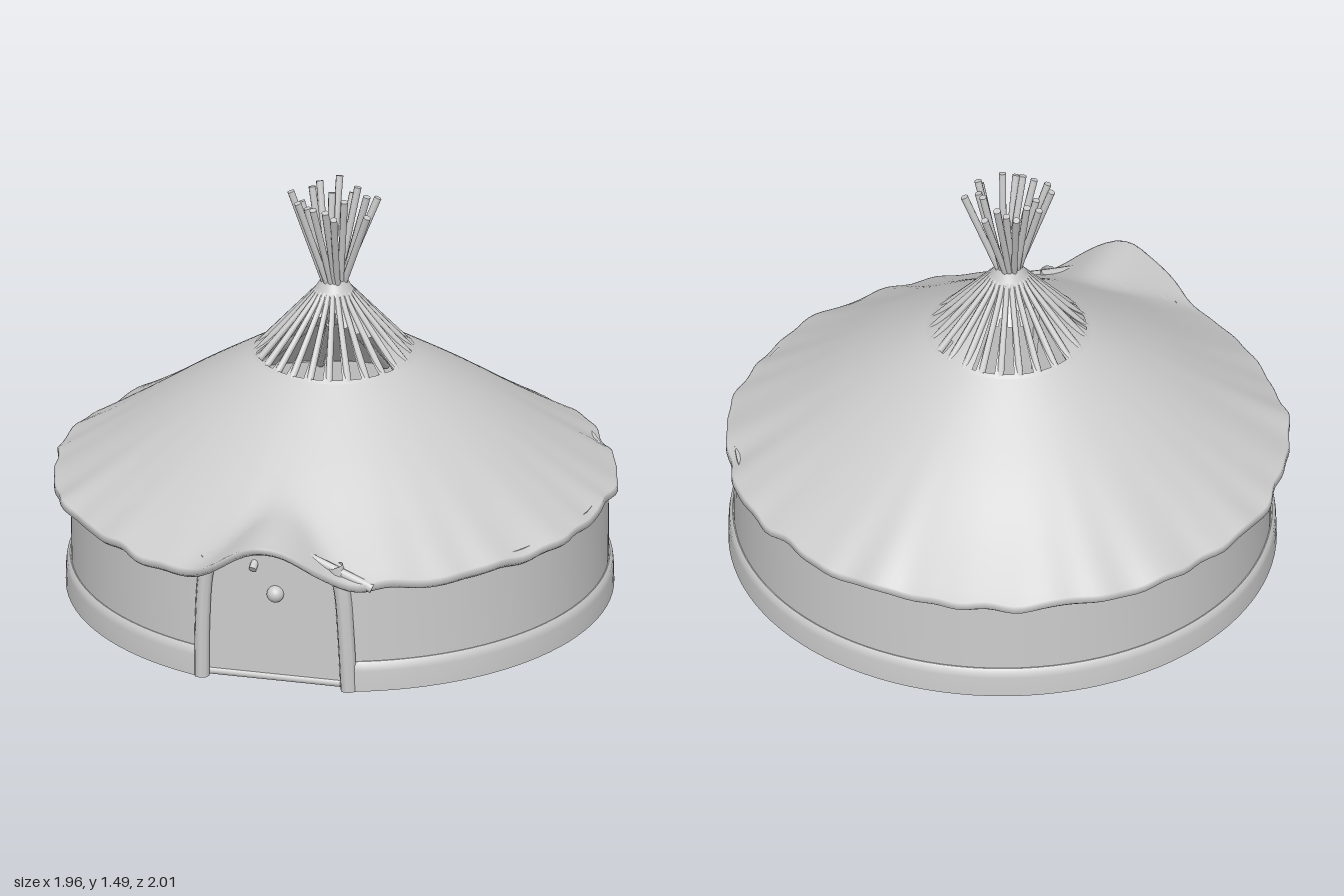
import * as THREE from 'three';
import { toCreasedNormals } from 'three/addons/utils/BufferGeometryUtils.js';

const mat = new THREE.MeshStandardMaterial({ color: 0xcccccc, side: THREE.DoubleSide });
const V = (x, y, z) => new THREE.Vector3(x, y, z);
const bump = (x, w) => Math.exp(-(x * x) / (w * w));

function add(parent, name, geometry) {
  const mesh = new THREE.Mesh(geometry, mat);
  mesh.name = name;
  parent.add(mesh);
  return mesh;
}

// Closed ring of cross-sections; keep() drops cells to leave openings
function ringSurface(rows, cols, point, keep = () => true) {
  const pos = [], index = [];
  for (let i = 0; i <= rows; i++)
    for (let j = 0; j < cols; j++) pos.push(...point(i, (j / cols) * Math.PI * 2).toArray());
  for (let i = 0; i < rows; i++)
    for (let j = 0; j < cols; j++) {
      if (!keep(i, j)) continue;
      const k = (j + 1) % cols;
      const a = i * cols + j, b = a + cols, c = (i + 1) * cols + k, d = i * cols + k;
      index.push(a, b, c, a, c, d);
    }
  const g = new THREE.BufferGeometry();
  g.setAttribute('position', new THREE.Float32BufferAttribute(pos, 3));
  g.setIndex(index);
  g.computeVertexNormals();
  return g;
}

// Straight round pole from p to q
function pole(parent, name, p, q, r0, r1 = r0) {
  const m = add(parent, name, new THREE.CylinderGeometry(r1, r0, p.distanceTo(q), 8));
  m.position.copy(p).lerp(q, 0.5);
  m.quaternion.setFromUnitVectors(V(0, 1, 0), q.clone().sub(p).normalize());
  return m;
}

const tube = (points, r) => new THREE.TubeGeometry(new THREE.CatmullRomCurve3(points), 32, r, 8);
const centreZ = (r) => -0.015 - 0.015 * r;
const polar = (a, r, y) => V(Math.sin(a) * r, y, Math.cos(a) * r + centreZ(r));

// Roof cover with wavy hem, lifted into a hood over the door
function roofPoint(a, r, y, inset) {
  const k = Math.pow(r / 0.97, 6);
  const ripple = 0.006 * Math.sin(a * 11 + 1) + 0.004 * Math.sin(a * 23) + 0.003 * Math.sin(a * 37 + 2);
  const x = Math.sin(a) * r;
  const front = Math.cos(a) > 0 ? 1 : 0;
  const rr = r + k * (ripple + front * 0.062 * bump(x + 0.1, 0.25));
  const p = polar(a, rr, y + k * 0.6 * (0.008 * Math.sin(a * 17) + 0.006 * Math.sin(a * 29 + 1)));
  if (front && r > 0.5) {
    const hood = 0.385 + 0.205 * bump(x, 0.21) - inset - 0.02 * k * bump(x, 0.2);
    const d = hood - p.y;
    p.y += 0.5 * (d + Math.sqrt(d * d + 0.0004)) * THREE.MathUtils.smoothstep(r, 0.5, 0.7);
  }
  return p;
}

function buildRoof(group) {
  const outer = new THREE.SplineCurve([
    [0.27, 0.885], [0.38, 0.815], [0.57, 0.69], [0.77, 0.55], [0.92, 0.45], [0.975, 0.415],
  ].map(([r, y]) => new THREE.Vector2(r, y))).getPoints(24);
  const profile = outer.map((p) => [p.x, p.y, 0]);
  profile.push([0.975, 0.395, 0.02], [0.96, 0.383, 0.035], [0.94, 0.39, 0.035]);
  outer.reverse().slice(2).forEach((p) => profile.push([p.x - 0.005, p.y - 0.025, 0.035]));
  add(group, 'roofCover', ringSurface(profile.length - 1, 192, (i, a) => roofPoint(a, ...profile[i])));

  // Crown cap with slots between the poles at the front and back
  const cap = new THREE.SplineCurve([
    [0.035, 1.18], [0.05, 1.145], [0.1, 1.065], [0.17, 0.98], [0.23, 0.92], [0.285, 0.877],
  ].map(([r, y]) => new THREE.Vector2(r, y))).getPoints(20);
  const cols = 125;
  const keep = (i, j) => {
    let a = ((j + 0.5) / cols) * Math.PI * 2;
    if (a > Math.PI) a -= Math.PI * 2;
    const frontSlot = Math.abs(a + 0.05) < 1.18;
    const backSlot = a < -1.8 || a > 3.05;
    const smallSlot = Math.abs(a - 2.45) < 0.1;
    if (!(frontSlot || backSlot || smallSlot) || (j + 1) % 5 > 2) return true;
    const r = cap[i].x;
    const inner = smallSlot ? 0.22 : backSlot ? 0.12 + 0.03 * Math.sin(j) : 0.075 + 0.08 * Math.abs(a);
    return r < inner || r > 0.262;
  };
  add(group, 'crownCap', ringSurface(20, cols, (i, a) => polar(a, cap[i].x, cap[i].y), keep));
}

function buildPoles(group) {
  // Rafters under the cover, meeting at the crown
  const rafters = new THREE.Group();
  rafters.name = 'rafters';
  for (let i = 0; i < 25; i++) {
    const a = ((i * 5 + 3.5) / 125) * Math.PI * 2;
    pole(rafters, 'rafter', polar(a, 0.9, 0.425), polar(a, 0.27, 0.862), 0.014);
    pole(rafters, 'upperRafter', polar(a, 0.28, 0.862), polar(a, 0.045, 1.13), 0.013, 0.009);
  }
  group.add(rafters);

  // Pole tips fanning out above the crown in two loose bundles
  const tips = new THREE.Group();
  tips.name = 'poleTips';
  for (let i = 0; i < 18; i++) {
    const a = (i / 18) * Math.PI * 2 + 0.12 * Math.sin(i * 5);
    const r = 0.125 + 0.03 * Math.sin(i * 2.4);
    const y = 1.455 + 0.03 * Math.sin(i * 3.7);
    pole(tips, 'poleTip', polar(a + 0.5, 0.028, 1.12), polar(a, r, y), 0.011, 0.013);
  }
  group.add(tips);
}

function buildWall(group) {
  const gap = 0.275;
  const ring = (name, pts) => {
    const profile = [...pts, pts[0]].map(([r, y]) => new THREE.Vector2(r, y));
    const g = new THREE.LatheGeometry(profile, 96, gap, Math.PI * 2 - 2 * gap);
    add(group, name, toCreasedNormals(g, 0.7)).position.set(0.018, 0, -0.03);
  };
  ring('wall', [[0.932, 0.01], [0.93, 0.43], [0.908, 0.43], [0.908, 0.01]]);
  ring('baseBand', [[0.95, 0.005], [0.948, 0.08], [0.945, 0.1], [0.935, 0.112], [0.92, 0.112], [0.915, 0.005]]);
}

function buildDoor(group) {
  const door = new THREE.Group();
  door.name = 'door';
  // Panel with a low pointed arch
  const s = new THREE.Shape();
  s.moveTo(-0.25, 0.015);
  s.lineTo(0.26, 0.015);
  s.lineTo(0.24, 0.45);
  s.quadraticCurveTo(0.1, 0.5, 0.01, 0.545);
  s.quadraticCurveTo(-0.1, 0.5, -0.23, 0.45);
  const panel = new THREE.ExtrudeGeometry(s, { depth: 0.025, bevelEnabled: false });
  add(door, 'doorPanel', panel).position.z = 0.825;

  add(door, 'leftPost', tube([V(0.275, 0.005, 0.865), V(0.265, 0.2, 0.865), V(0.25, 0.38, 0.865), V(0.225, 0.47, 0.865)], 0.03));
  add(door, 'rightPost', tube([V(-0.25, 0.005, 0.865), V(-0.248, 0.2, 0.865), V(-0.24, 0.36, 0.865), V(-0.225, 0.46, 0.865)], 0.027));
  add(door, 'lintel', tube([V(-0.36, 0.4, 0.87), V(-0.22, 0.455, 0.87), V(-0.1, 0.505, 0.875), V(0, 0.54, 0.88),
    V(0.1, 0.51, 0.875), V(0.23, 0.455, 0.87), V(0.36, 0.4, 0.87)], 0.018));
  pole(door, 'sill', V(-0.25, 0.018, 0.845), V(0.27, 0.018, 0.845), 0.014);
  const knob = add(door, 'doorKnob', new THREE.SphereGeometry(0.03, 20, 14));
  knob.position.set(0.01, 0.335, 0.855);
  group.add(door);
}

export function createModel() {
  const group = new THREE.Group();
  group.name = 'roundTent';
  buildWall(group);
  buildDoor(group);
  buildRoof(group);
  buildPoles(group);
  return group;
}
